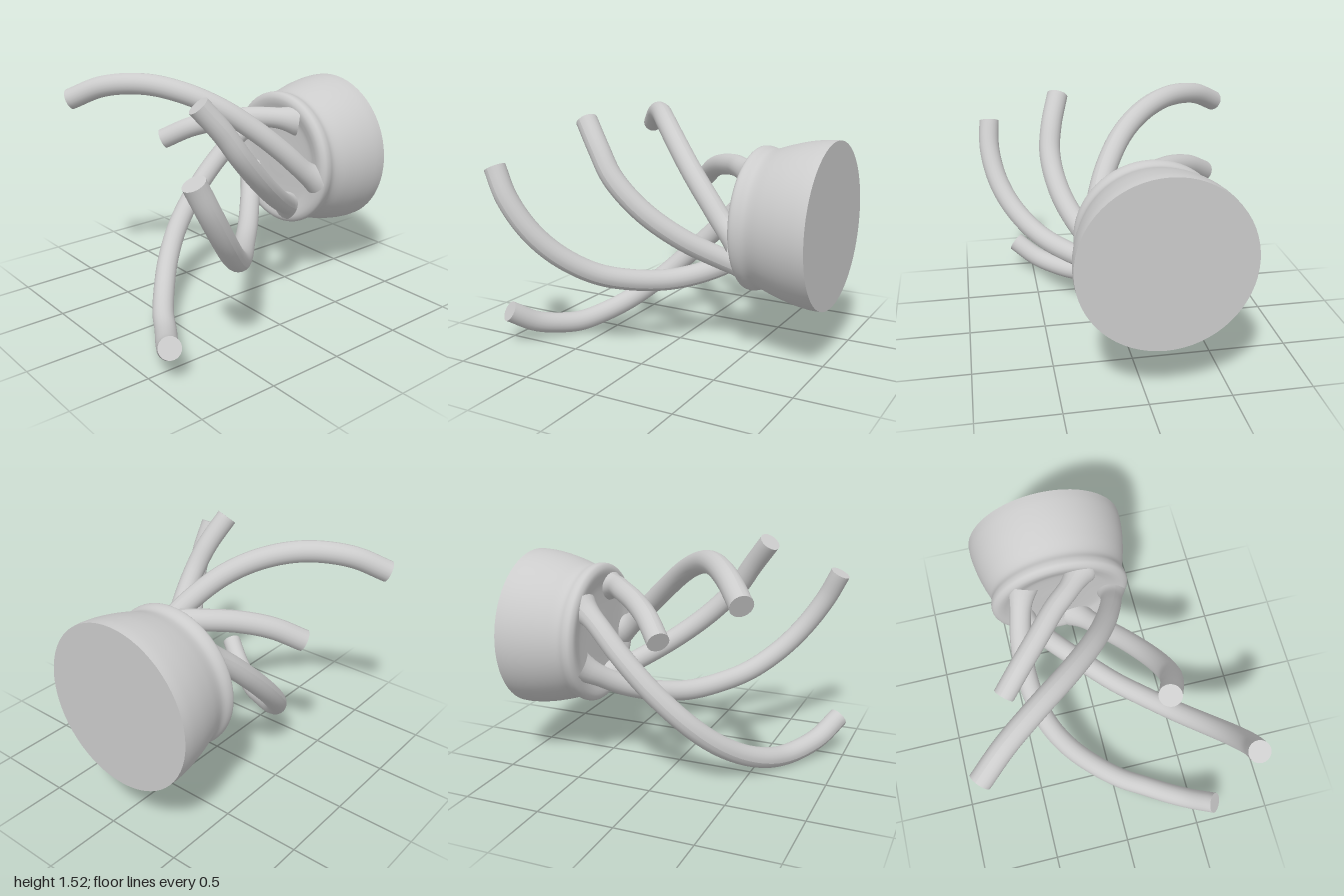
import * as THREE from 'three';

const CENTER = [-0.095, 0.872];
const RADIUS = 0.068;

// Centre lines of the arms, from free tip to root in the base
const ARMS = {
  upperRightArm: [[-.81, 1.33, .68], [-.63, 1.425, .54], [-.4, 1.455, .37], [-.2, 1.41, .21], [-.03, 1.31, .04],
    [.1, 1.16, -.14], [.18, 1.01, -.3], [.23, .87, -.44], [.25, .8, -.54]],
  upperLeftArm: [[.32, 1.47, .49], [.38, 1.3, .36], [.405, 1.14, .25], [.37, .95, .07], [.27, .78, -.14],
    [.12, .64, -.36], [0, .55, -.53]],
  shortRightArm: [[-.59, 1.01, .11], [-.45, 1.1, -.02], [-.3, 1.155, -.17], [-.17, 1.178, -.31],
    [-.05, 1.18, -.42], [.05, 1.16, -.54]],
  outerLeftArm: [[.77, 1.21, .86], [.78, 1.03, .77], [.735, .83, .64], [.64, .67, .5], [.49, .54, .33], [.33, .48, .17],
    [.15, .458, 0], [-.02, .49, -.17], [-.18, .56, -.32], [-.33, .67, -.46], [-.38, .72, -.53]],
  lowerLeftArm: [[.62, .23, .93], [.47, .13, .84], [.34, .09, .76], [.2, .075, .67], [.06, .1, .59], [-.1, .17, .47],
    [-.25, .29, .33], [-.36, .45, .17], [-.42, .65, -.03], [-.42, .85, -.23], [-.375, 1.02, -.41], [-.33, 1.1, -.53]],
};

export function createModel() {
  const group = new THREE.Group();
  const material = new THREE.MeshStandardMaterial({ color: 0xcccccc });

  function add(name, geometry, parent = group) {
    const mesh = new THREE.Mesh(geometry, material);
    mesh.name = name;
    parent.add(mesh);
    return mesh;
  }

  // Round base: smooth flared wall, rolled rim and shallow front face
  const profile = new THREE.SplineCurve([
    [.517, -1], [.516, -.93], [.5, -.82], [.472, -.71], [.446, -.63], [.442, -.59], [.454, -.55],
    [.452, -.515], [.425, -.495], [.39, -.494], [.35, -.505], [.3, -.518], [.2, -.522], [.1, -.522], [0, -.522],
  ].map(([r, z]) => new THREE.Vector2(r, z)));
  const points = profile.getPoints(56);
  points.forEach((p) => { p.x = Math.max(p.x, 0); });
  const base = add('base', new THREE.LatheGeometry(points, 64).rotateX(Math.PI / 2));
  base.position.set(...CENTER, 0);

  // Flat back of the base
  const back = add('baseBack', new THREE.CircleGeometry(.517, 64).rotateY(Math.PI));
  back.position.set(...CENTER, -1);

  // Curling arms: tubes flared at the root, closed by a flat tip
  for (const [name, path] of Object.entries(ARMS)) {
    const arm = new THREE.Group();
    arm.name = name;
    group.add(arm);
    const curve = new THREE.CatmullRomCurve3(path.map((p) => new THREE.Vector3(...p)));
    const segments = 64, sides = 20;
    const tube = new THREE.TubeGeometry(curve, segments, RADIUS, sides);
    const pos = tube.attributes.position;
    const v = new THREE.Vector3();
    for (let i = 0; i <= segments; i++) {
      const c = curve.getPointAt(i / segments);
      const t = THREE.MathUtils.clamp((-.4 - c.z) / .13, 0, 1);
      for (let j = 0; j <= sides; j++) {
        const k = i * (sides + 1) + j;
        v.fromBufferAttribute(pos, k).sub(c).multiplyScalar(1 + .5 * t * t).add(c);
        pos.setXYZ(k, v.x, v.y, v.z);
      }
    }
    tube.computeVertexNormals();
    add('armTube', tube, arm);

    const tip = add('armTip', new THREE.CircleGeometry(RADIUS, sides), arm);
    tip.position.copy(curve.getPointAt(0));
    tip.quaternion.setFromUnitVectors(new THREE.Vector3(0, 0, 1), curve.getTangentAt(0).negate());
  }

  return group;
}
